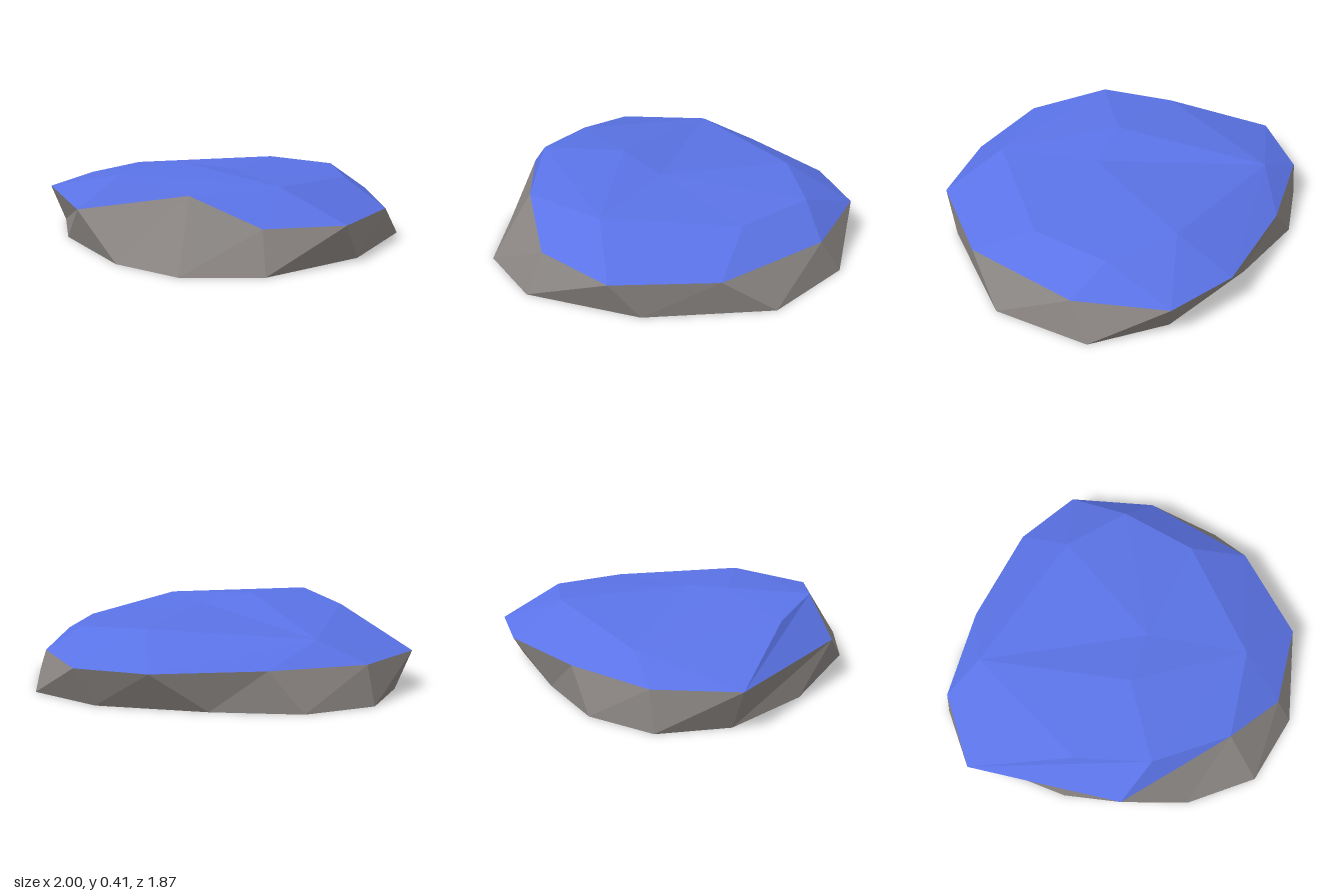
import * as THREE from 'three';

// Foot of the stone: ring of [x, z] on the ground, left edge -> front -> right -> back
const foot = [
  [-0.92, -0.30], [-0.78, 0.17], [-0.40, 0.72], [-0.07, 0.93], [0.32, 0.89], [0.75, 0.48],
  [1.00, -0.12], [0.86, -0.60], [0.50, -0.80], [-0.05, -0.84], [-0.49, -0.82], [-0.81, -0.64],
].map(([x, z]) => [x, 0, z]);

// Corners of the cap: A-L lie on the rim (C sits just above it), M-T on the crown
const corner = {
  A: [-1.00, 0.20, -0.29], B: [-0.65, 0.21, 0.46], C: [-0.42, 0.395, 0.48], D: [-0.05, 0.335, 0.71],
  E: [0.30, 0.20, 0.79], F: [0.69, 0.19, 0.62], G: [0.91, 0.185, 0.14], H: [0.84, 0.19, -0.48],
  I: [0.58, 0.195, -0.87], J: [0.21, 0.195, -0.94], K: [-0.32, 0.20, -0.83], L: [-0.77, 0.20, -0.64],
  M: [-0.15, 0.41, 0.13], N: [0.12, 0.365, 0.04], O: [0.28, 0.345, -0.65], P: [-0.53, 0.305, -0.60],
  Q: [-0.64, 0.355, 0.15], R: [0.37, 0.35, 0.51], S: [0.70, 0.312, -0.10], T: [0.64, 0.325, -0.52],
};

// Rim matched to the foot; B meets two foot corners
const rim = [...'ABBDEFGHIJKL'].map((k) => corner[k]);

// Facets of the cap, counterclockwise from above
const facets = ('ABCQ BDC CDR RDEF RFGS SGHT THIO OIJ POJ PJK PKL PLA PAQ ' +
  'PQM PMN PNO QCM CRM MRN NRS NST NTO').split(' ');

// Flat-shaded mesh from convex polygons, each split as a fan
function facetMesh(name, polygons, material) {
  const positions = [];
  for (const p of polygons) {
    for (let i = 1; i < p.length - 1; i++) positions.push(...p[0], ...p[i], ...p[i + 1]);
  }
  const geometry = new THREE.BufferGeometry();
  geometry.setAttribute('position', new THREE.Float32BufferAttribute(positions, 3));
  geometry.computeVertexNormals();
  const mesh = new THREE.Mesh(geometry, material);
  mesh.name = name;
  return mesh;
}

export function createModel() {
  const options = { side: THREE.DoubleSide, flatShading: true };
  const blue = new THREE.MeshStandardMaterial({ color: 0x5a73e6, ...options });
  blue.name = 'blue';
  const gray = new THREE.MeshStandardMaterial({ color: 0x8a8582, ...options });
  gray.name = 'stone gray';

  // Wall between foot and rim; the doubled rim corner makes one triangle
  const walls = foot.map((a, i) => {
    const j = (i + 1) % foot.length;
    return rim[i] === rim[j] ? [a, foot[j], rim[i]] : [a, foot[j], rim[j], rim[i]];
  });

  const group = new THREE.Group();
  group.name = 'rock';
  group.add(
    facetMesh('rockWall', walls, gray),
    facetMesh('rockCap', facets.map((f) => [...f].map((k) => corner[k])), blue),
  );
  return group;
}
